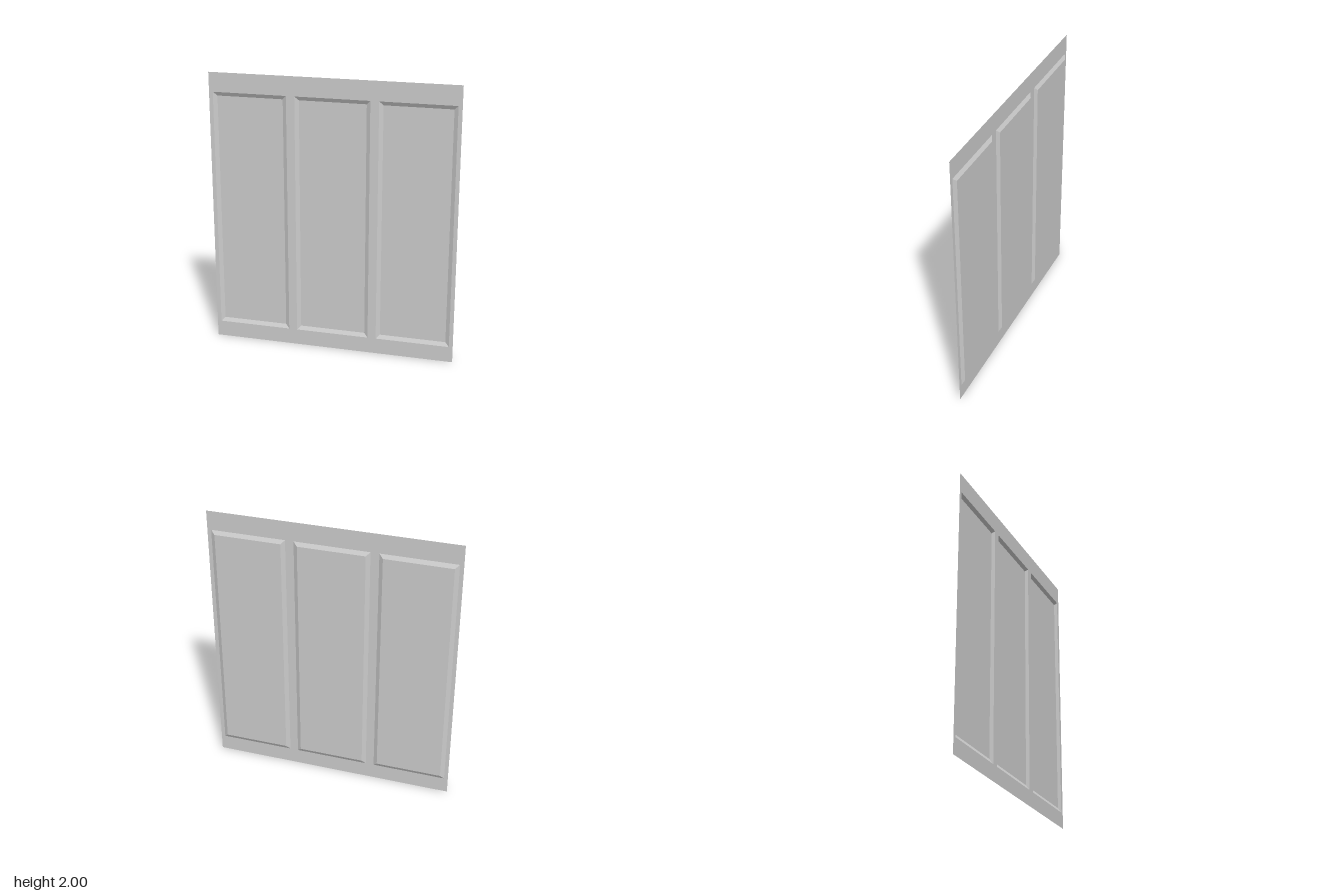
import * as THREE from 'three';

const WIDTH = 1.775, HEIGHT = 2;
const PANEL_W = 0.533, PANEL_BOTTOM = 0.116, PANEL_TOP = 1.861;
const PITCH = 0.593, BEVEL = 0.028, Z = 0.0075;

const material = new THREE.MeshStandardMaterial({
  color: 0xcccccc, side: THREE.DoubleSide, flatShading: true,
});

// Corners of a rectangle, counter-clockwise from the front
const corners = (x0, y0, x1, y1) => [[x0, y0], [x1, y0], [x1, y1], [x0, y1]];

const panelCorners = (cx, inset) => corners(
  cx - PANEL_W / 2 + inset, PANEL_BOTTOM + inset,
  cx + PANEL_W / 2 - inset, PANEL_TOP - inset,
);

const toPoints = (list) => list.map(([x, y]) => new THREE.Vector2(x, y));

// Shallow tray: four sloped sides and a flat floor
function trayGeometry(cx) {
  const rim = panelCorners(cx, 0).map(([x, y]) => [x, y, Z]);
  const floor = panelCorners(cx, BEVEL).map(([x, y]) => [x, y, -Z]);
  const positions = [];
  const quad = (a, b, c, d) => positions.push(...a, ...b, ...c, ...a, ...c, ...d);
  for (let i = 0; i < 4; i++) {
    const j = (i + 1) % 4;
    quad(rim[i], rim[j], floor[j], floor[i]);
  }
  quad(...floor);
  const geometry = new THREE.BufferGeometry();
  geometry.setAttribute('position', new THREE.Float32BufferAttribute(positions, 3));
  geometry.computeVertexNormals();
  return geometry;
}

export function createModel() {
  const group = new THREE.Group();
  group.name = 'pressedPanelSheet';
  const centres = [-PITCH, 0, PITCH];

  // Flat sheet with an opening for each pressed panel
  const sheet = new THREE.Shape(toPoints(corners(-WIDTH / 2, 0, WIDTH / 2, HEIGHT)));
  for (const cx of centres) {
    sheet.holes.push(new THREE.Path(toPoints(panelCorners(cx, 0).reverse())));
  }
  const frame = new THREE.Mesh(new THREE.ShapeGeometry(sheet).translate(0, 0, Z), material);
  frame.name = 'frameSheet';
  group.add(frame);

  // Panels pressed in from the front
  const names = ['rightPanel', 'middlePanel', 'leftPanel'];
  centres.forEach((cx, i) => {
    const panel = new THREE.Mesh(trayGeometry(cx), material);
    panel.name = names[i];
    group.add(panel);
  });

  return group;
}
